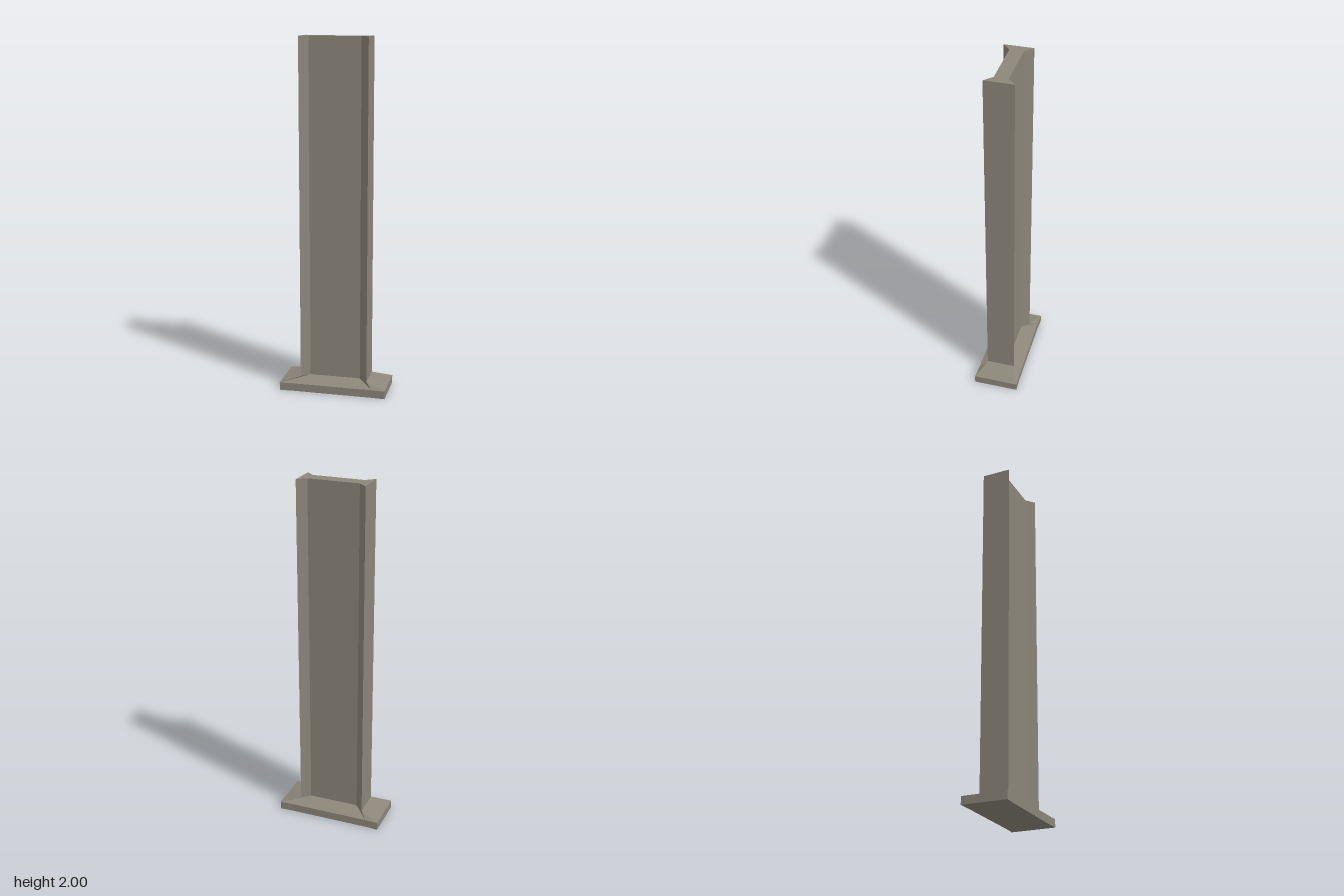
import * as THREE from 'three';

// Eight-point dog-bone outline: wide ends joined by a narrower web.
// Points run counter-clockwise seen from above, as (x, -z).
function outline(endX, endZ, webX, webZ) {
  return [
    [endX, endZ], [webX, webZ], [-webX, webZ], [-endX, endZ],
    [-endX, -endZ], [-webX, -webZ], [webX, -webZ], [endX, -endZ],
  ].map(([x, v]) => new THREE.Vector2(x, v));
}

// Skins a stack of { y, ring } sections, with optional flat caps.
function loft(sections, capBottom, capTop) {
  const positions = [];
  const put = ({ y, ring }, i) => positions.push(ring[i].x, y, -ring[i].y);
  for (let s = 0; s < sections.length - 1; s++) {
    const low = sections[s], high = sections[s + 1], n = low.ring.length;
    for (let i = 0; i < n; i++) {
      const j = (i + 1) % n;
      put(low, i); put(low, j); put(high, j);
      put(low, i); put(high, j); put(high, i);
    }
  }
  const cap = (section, flip) => {
    for (const [a, b, c] of THREE.ShapeUtils.triangulateShape(section.ring.slice(), [])) {
      put(section, a); put(section, flip ? c : b); put(section, flip ? b : c);
    }
  };
  if (capBottom) cap(sections[0], true);
  if (capTop) cap(sections[sections.length - 1], false);
  const geometry = new THREE.BufferGeometry();
  geometry.setAttribute('position', new THREE.Float32BufferAttribute(positions, 3));
  geometry.computeVertexNormals();
  return geometry;
}

export function createModel() {
  const group = new THREE.Group();
  group.name = 'pillar';
  const stone = new THREE.MeshStandardMaterial({ color: 0x8c867a, flatShading: true });
  stone.name = 'warm grey stone';

  const footRing = outline(0.305, 0.1275, 0.23, 0.124);
  const shaftRing = outline(0.192, 0.081, 0.145, 0.038);

  // Low plinth whose upper part slopes in to meet the shaft
  const base = new THREE.Mesh(loft([
    { y: 0, ring: footRing }, { y: 0.045, ring: footRing }, { y: 0.075, ring: shaftRing },
  ], true, false), stone);
  base.name = 'base';

  // Tall straight shaft with flared ends
  const shaft = new THREE.Mesh(loft([
    { y: 0.075, ring: shaftRing }, { y: 2, ring: shaftRing },
  ], false, true), stone);
  shaft.name = 'shaft';

  group.add(base, shaft);
  return group;
}
